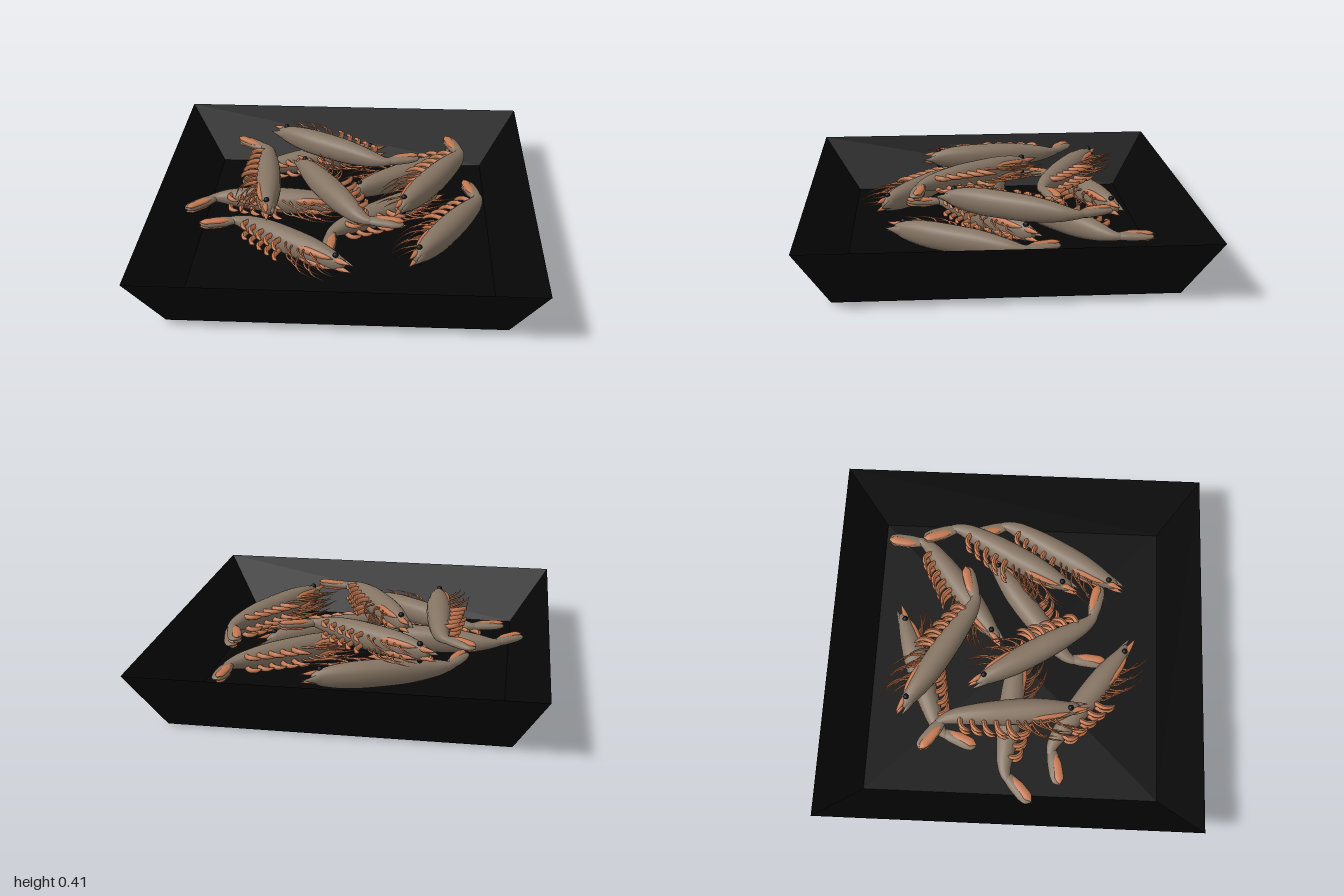
import * as THREE from 'three';

const shell = new THREE.MeshStandardMaterial({ color: 0x857463 });
const orange = new THREE.MeshStandardMaterial({ color: 0xc47850 });
const black = new THREE.MeshStandardMaterial({ color: 0x101014 });
const trayMat = new THREE.MeshStandardMaterial({ color: 0x060606, flatShading: true });

function part(name, geometry, material) {
  const mesh = new THREE.Mesh(geometry, material);
  mesh.name = name;
  return mesh;
}

// Skin over a path in the xz plane; each station is [x, z, half width, half height]
function loft(stations, rings, sides, y = 0) {
  const path = new THREE.CatmullRomCurve3(stations.map(s => new THREE.Vector3(s[0], 0, s[1])));
  const size = new THREE.CatmullRomCurve3(stations.map(s => new THREE.Vector3(s[2], s[3], 0)));
  const pos = [], index = [];
  for (let i = 0; i <= rings; i++) {
    const t = i / rings, p = path.getPoint(t), d = path.getTangent(t), r = size.getPoint(t);
    for (let j = 0; j < sides; j++) {
      const a = j / sides * Math.PI * 2, c = Math.cos(a), s = Math.sin(a);
      const w = Math.max(r.x, 0) * c, h = Math.max(r.y, 0) * Math.sign(s) * Math.abs(s) ** 0.85;
      pos.push(p.x - d.z * w, y + h, p.z + d.x * w);
      if (i < rings) {
        const k = (j + 1) % sides, a0 = i * sides + j, b0 = i * sides + k;
        index.push(a0, a0 + sides, b0, b0, a0 + sides, b0 + sides);
      }
    }
  }
  const g = new THREE.BufferGeometry();
  g.setAttribute('position', new THREE.Float32BufferAttribute(pos, 3));
  g.setIndex(index);
  g.computeVertexNormals();
  return g;
}

// Curved limb, thinning toward its end
function limb(points, radius, taper, steps, sides) {
  const curve = new THREE.CatmullRomCurve3(points.map(p => new THREE.Vector3(...p)));
  const g = new THREE.TubeGeometry(curve, steps, radius, sides);
  const pos = g.attributes.position, v = new THREE.Vector3();
  for (let i = 0; i < pos.count; i++) {
    const t = Math.floor(i / (sides + 1)) / steps, c = curve.getPointAt(t);
    v.fromBufferAttribute(pos, i).sub(c).multiplyScalar(1 - 0.9 * t ** taper).add(c);
    pos.setXYZ(i, v.x, v.y, v.z);
  }
  g.computeVertexNormals();
  return g;
}

// One shrimp lying on its side: head at the origin, tail toward +x, back toward +z
function createShrimp() {
  const shrimp = new THREE.Group();

  shrimp.add(part('body', loft([
    [0.05, 0.008, 0, 0], [0.055, 0.009, 0.02, 0.022], [0.1, 0.015, 0.036, 0.045],
    [0.18, 0.03, 0.052, 0.062], [0.28, 0.05, 0.064, 0.07], [0.38, 0.068, 0.067, 0.07],
    [0.5, 0.09, 0.063, 0.068], [0.6, 0.108, 0.054, 0.058], [0.69, 0.122, 0.042, 0.042],
    [0.75, 0.122, 0.029, 0.026], [0.79, 0.107, 0.02, 0.017], [0.8, 0.1, 0, 0],
  ], 33, 18), shell));

  // Forked snout
  shrimp.add(part('rostrum', loft([
    [0, 0.016, 0, 0], [0.04, 0.026, 0.008, 0.012], [0.1, 0.036, 0.016, 0.03], [0.13, 0.04, 0, 0],
  ], 10, 8), shell));
  for (const s of [-1, 1]) {
    shrimp.add(part('antennaScale', loft([
      [0, -0.012, 0, 0], [0.03, -0.008, 0.008, 0.007], [0.08, -0.002, 0.016, 0.014], [0.12, 0.004, 0, 0],
    ], 10, 8, s * 0.022), orange));
    const eye = part('eye', new THREE.SphereGeometry(0.015, 12, 8), black);
    eye.position.set(0.1, s * 0.043, 0.008);
    shrimp.add(eye);
    // Coloured lower edge of the carapace
    shrimp.add(part('cheek', loft([
      [0.1, -0.012, 0, 0], [0.16, -0.012, 0.014, 0.014], [0.25, -0.002, 0.019, 0.02], [0.36, 0.015, 0, 0],
    ], 12, 8, s * 0.03), orange));
  }

  // Tail fan with a coloured blade on each side
  shrimp.add(part('tailFan', loft([
    [0.745, 0.123, 0, 0], [0.76, 0.118, 0.022, 0.015], [0.81, 0.08, 0.036, 0.022],
    [0.865, 0.038, 0.038, 0.02], [0.905, 0.01, 0.027, 0.012], [0.918, 0, 0, 0],
  ], 18, 12), shell));
  for (const s of [-1, 1]) shrimp.add(part('tailBlade', loft([
    [0.765, 0.1, 0, 0], [0.82, 0.056, 0.023, 0.012], [0.88, 0.014, 0.024, 0.012], [0.914, -0.008, 0, 0],
  ], 12, 8, s * 0.014), orange));

  for (const s of [-1, 1]) {
    // Plump hooked swimming legs under the abdomen
    for (let i = 0; i < 5; i++) {
      const x = 0.43 + i * 0.06, z = 0.025 + i * 0.016, y = s * 0.028, l = 0.105 - i * 0.009;
      shrimp.add(part('swimmingLeg', limb([
        [x, y, z + 0.015], [x + 0.006, y * 1.2, z - l * 0.45],
        [x - 0.01, y * 1.2, z - l * 0.8], [x - 0.04, y, z - l],
      ], 0.0145, 5, 10, 6), orange));
    }
    // Thin walking legs sweeping forward
    for (let i = 0; i < 6; i++) {
      const x = 0.2 + i * 0.038, z = i * 0.005, y = s * (0.022 + 0.004 * (i % 3));
      const l = 0.09 + 0.018 * ((i * 3 + (s > 0 ? 2 : 0)) % 5);
      shrimp.add(part('walkingLeg', limb([
        [x, y, z], [x - 0.015, y * 1.3, z - l * 0.36],
        [x - 0.065, y * 1.2, z - l * 0.75], [x - 0.11 - 0.3 * l, y * 0.8, z - l],
      ], 0.006, 2, 9, 4), orange));
    }
  }
  return shrimp;
}

export function createModel() {
  const model = new THREE.Group();

  // Square thin-walled tray with sloping sides
  const profile = [[0, 0], [0.84, 0], [1, 0.31], [0.79, 0.03], [0, 0.03]]
    .map(([r, y]) => new THREE.Vector2(r * Math.SQRT2, y));
  const tray = part('tray', new THREE.LatheGeometry(profile, 4), trayMat);
  tray.rotation.y = Math.PI / 4;
  model.add(tray);

  // Snout x, z, tail x, z, height
  const layout = [
    [-0.37, 0.40, -0.64, -0.50, 0.34],
    [0.28, 0.33, 0.57, -0.55, 0.34],
    [-0.29, -0.24, 0.32, 0.44, 0.34],
    [-0.46, -0.60, 0.40, -0.29, 0.34],
    [0.36, 0.59, 0.67, -0.28, 0.20],
    [0.07, 0.64, -0.77, 0.25, 0.20],
    [0.21, -0.66, -0.59, -0.18, 0.20],
    [0.05, 0.02, -0.86, 0.11, 0.20],
    [0.54, -0.19, -0.06, 0.48, 0.19],
    [0.00, -0.07, 0.60, -0.73, 0.21],
  ];
  const shrimp = createShrimp();
  for (const [hx, hz, tx, tz, y] of layout) {
    const copy = shrimp.clone();
    copy.name = 'shrimp';
    copy.position.set(hx, y, hz);
    copy.rotation.y = Math.atan2(hz - tz, tx - hx);
    model.add(copy);
  }
  return model;
}
